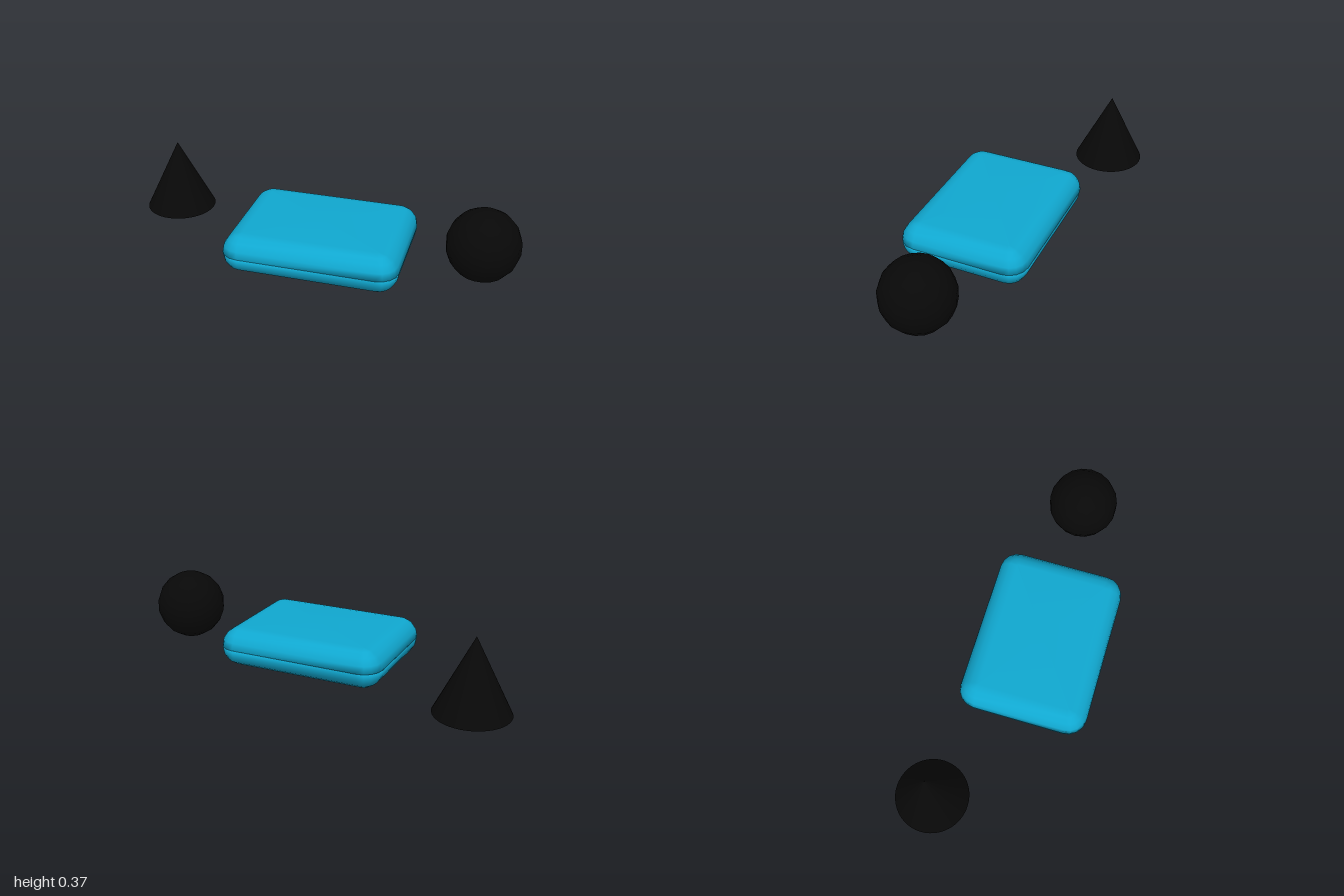
import * as THREE from 'three';

const blue = new THREE.MeshStandardMaterial({ color: 0x10a8d0 });
const black = new THREE.MeshStandardMaterial({ color: 0x080808 });

const HALF_X = 0.424, HALF_Z = 0.3215, RADIUS = 0.095, STEPS = 4;

// Rounded rectangle in plan, pulled in by `inset`
function ring(inset, y) {
  const points = [];
  const r = Math.max(RADIUS - inset, 0.004);
  const cx = HALF_X - inset - r, cz = HALF_Z - inset - r;
  [[1, 1], [-1, 1], [-1, -1], [1, -1]].forEach(([sx, sz], corner) => {
    for (let i = 0; i <= STEPS; i++) {
      const a = (corner + i / STEPS) * Math.PI / 2;
      points.push(sx * cx + r * Math.cos(a), y, sz * cz + r * Math.sin(a));
    }
  });
  return points;
}

// Half of the cushion-shaped case: closed seam face, rounded wall, flat outer face
function shellHalf() {
  const rings = [ring(0.03, 0), ring(0, 0)];
  for (let i = 1; i <= STEPS; i++) {
    const a = i / STEPS * Math.PI / 2;
    rings.push(ring(RADIUS * (1 - Math.cos(a)), RADIUS * Math.sin(a)));
  }
  const n = rings[0].length / 3, last = (rings.length - 1) * n;
  const positions = [...rings.flat(), 0, 0, 0, 0, RADIUS, 0];
  const bottom = rings.length * n, top = bottom + 1;
  const index = [];
  for (let i = 0; i < n; i++) {
    const j = (i + 1) % n;
    for (let k = 0; k < last; k += n) {
      index.push(k + i, k + n + i, k + j, k + j, k + n + i, k + n + j);
    }
    index.push(bottom, i, j, top, last + j, last + i);
  }
  const geometry = new THREE.BufferGeometry();
  geometry.setAttribute('position', new THREE.Float32BufferAttribute(positions, 3));
  geometry.setIndex(index);
  geometry.computeVertexNormals();
  return geometry;
}

export function createModel() {
  const model = new THREE.Group();
  const add = (name, geometry, material, x, y, z) => {
    const mesh = new THREE.Mesh(geometry, material);
    mesh.name = name;
    mesh.position.set(x, y, z);
    model.add(mesh);
    return mesh;
  };

  // Two rounded halves with a hairline seam between them
  add('upperShell', shellHalf(), blue, 0.055, 0.0985, 0.0765);
  add('lowerShell', shellHalf(), blue, 0.055, 0.0955, 0.0765).rotation.x = Math.PI;

  // Solids beside the case
  add('ball', new THREE.SphereGeometry(0.1755, 18, 9), black, 0.826, 0.18, 0.075);
  add('cone', new THREE.ConeGeometry(0.179, 0.36, 48), black, -0.821, 0.187, -0.218);
  return model;
}
